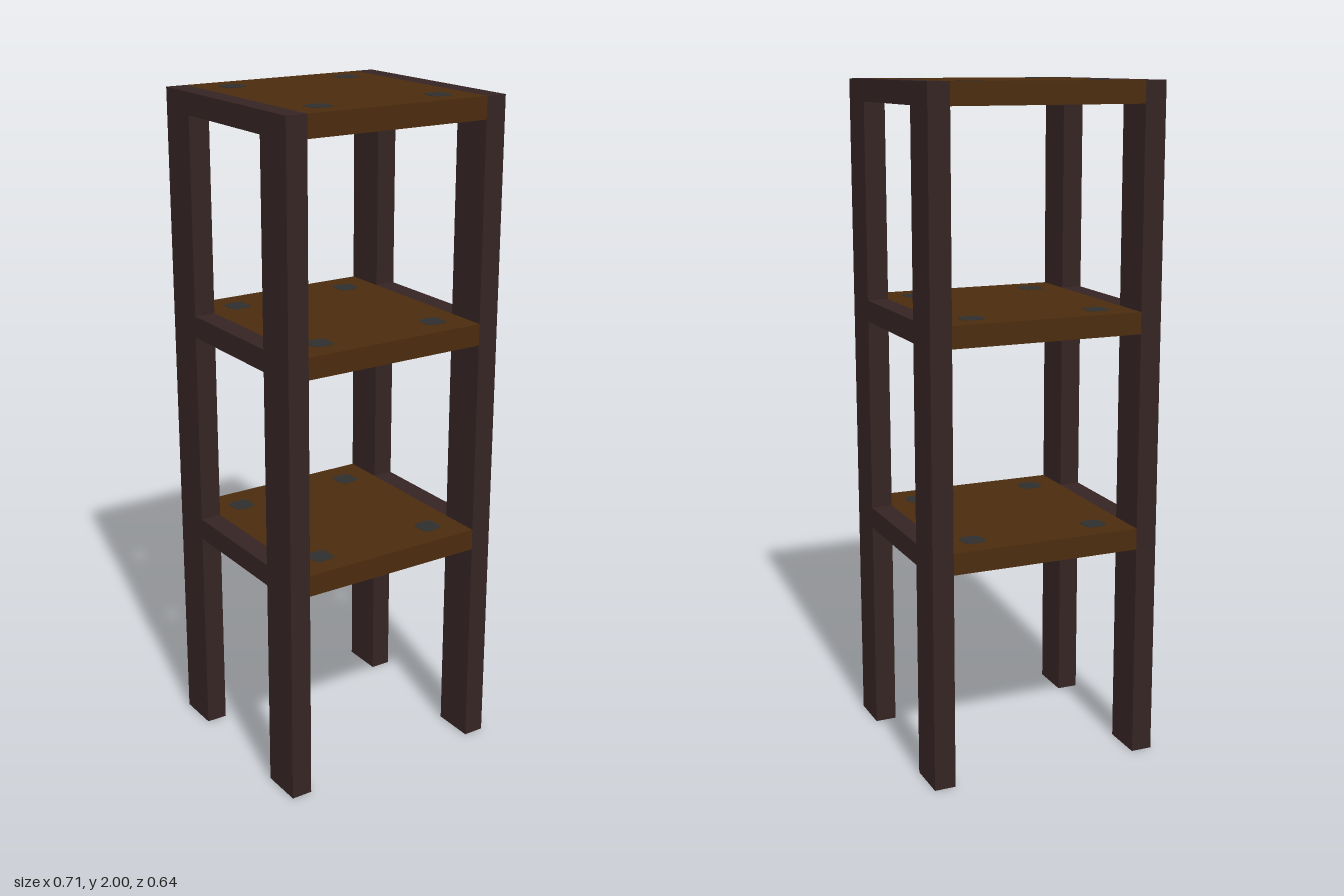
import * as THREE from 'three';

const mat = (name, color) => new THREE.MeshStandardMaterial({ name, color });

export function createModel() {
  const group = new THREE.Group();
  group.name = 'shelfStand';
  const frame = mat('dark frame', 0x362424);
  const wood = mat('brown wood', 0x4b2c0e);
  const metal = mat('grey metal', 0x2e2e2e);

  const add = (name, geometry, material, x, y, z) => {
    const mesh = new THREE.Mesh(geometry, material);
    mesh.name = name;
    mesh.position.set(x, y, z);
    group.add(mesh);
  };

  const thick = 0.064;
  const tops = [0.71, 1.355, 2];
  const sides = [-1, 1];

  // Square bolt with clipped corners, running through a shelf
  const h = 0.033, c = 0.021;
  const outline = new THREE.Shape(
    [[h, -c], [h, c], [c, h], [-c, h], [-h, c], [-h, -c], [-c, -h], [c, -h]]
      .map(([x, y]) => new THREE.Vector2(x, y)));
  const boltHeight = thick + 0.002;
  const bolt = new THREE.ExtrudeGeometry(outline, { depth: boltHeight, bevelEnabled: false });
  bolt.translate(0, 0, -boltHeight / 2).rotateX(-Math.PI / 2);

  const leg = new THREE.BoxGeometry(0.064, 2, 0.129);
  const rail = new THREE.BoxGeometry(0.064, thick, 0.387);
  const board = new THREE.BoxGeometry(0.58, thick, 0.645);

  // Four full-height legs
  for (const sx of sides) for (const sz of sides) add('leg', leg, frame, sx * 0.322, 1, sz * 0.258);

  // Shelves with side rails and bolts
  for (const top of tops) {
    const y = top - thick / 2;
    add('shelf', board, wood, 0, y, 0);
    for (const sx of sides) {
      add('sideRail', rail, frame, sx * 0.322, y, 0);
      for (const sz of sides) add('bolt', bolt, metal, sx * 0.194, y, sz * 0.226);
    }
  }
  return group;
}
